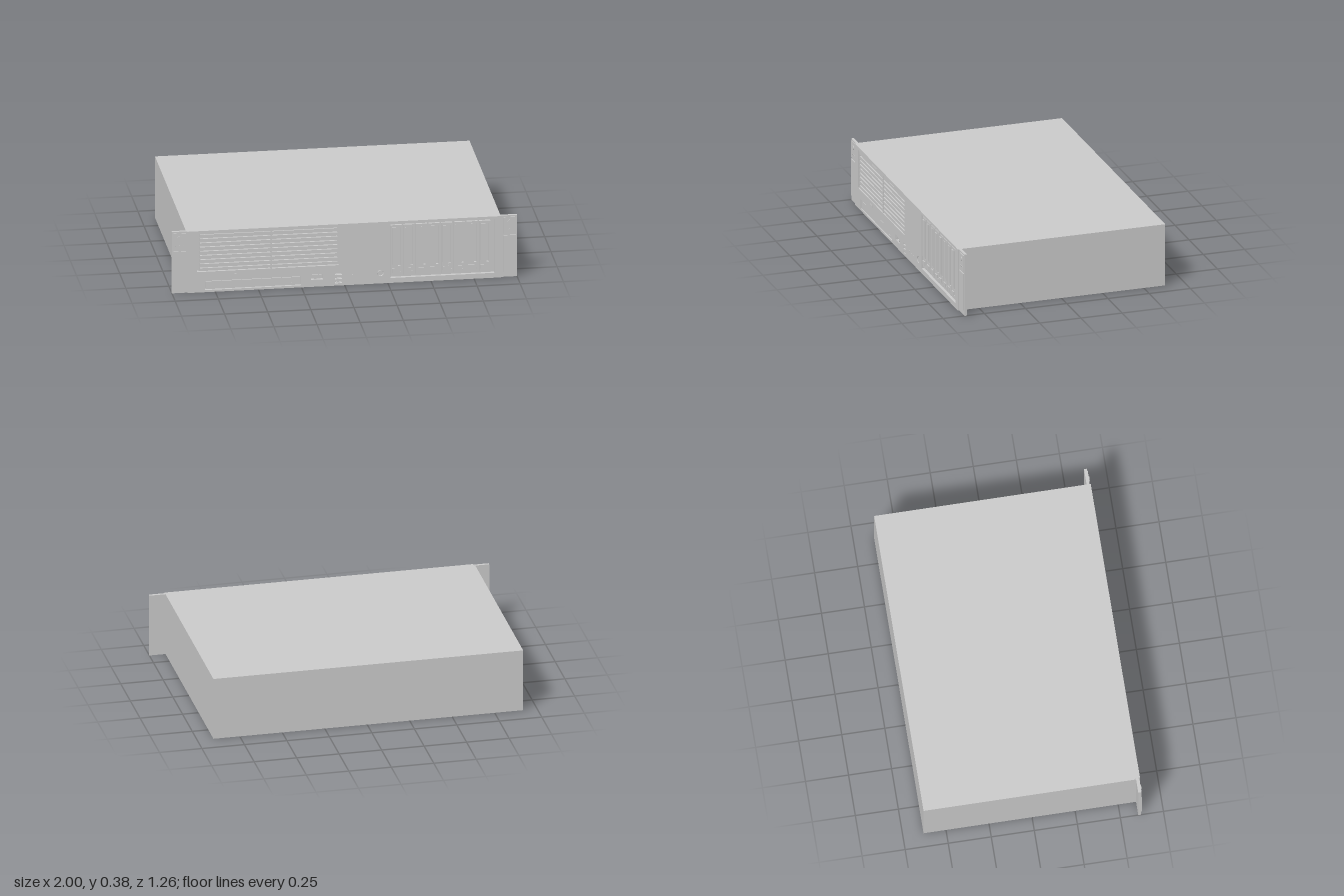
import * as THREE from 'three';

const mat = new THREE.MeshStandardMaterial({ color: 0xcccccc, flatShading: true });
const FRONT = 0.628, H = 0.375;

function rectPath(x0, y0, x1, y1, Type = THREE.Path) {
  const p = new Type();
  p.moveTo(x0, y0).lineTo(x1, y0).lineTo(x1, y1).lineTo(x0, y1).closePath();
  return p;
}

function circlePath(x, y, r) {
  const p = new THREE.Path();
  p.absarc(x, y, r, 0, Math.PI * 2, true);
  return p;
}

export function createModel() {
  const model = new THREE.Group();
  model.name = 'rackServer';

  const add = (name, geo, parent = model) => {
    const m = new THREE.Mesh(geo, mat);
    m.name = name;
    parent.add(m);
    return m;
  };
  // Box given by its limits
  const box = (name, x0, x1, y0, y1, z0, z1, parent) => {
    const g = new THREE.BoxGeometry(x1 - x0, y1 - y0, z1 - z0);
    g.translate((x0 + x1) / 2, (y0 + y1) / 2, (z0 + z1) / 2);
    return add(name, g, parent);
  };
  // Plate with holes, spanning z0 to z1
  const plate = (name, x0, x1, y0, y1, z0, z1, holes, parent) => {
    const s = rectPath(x0, y0, x1, y1, THREE.Shape);
    s.holes.push(...holes);
    const g = new THREE.ExtrudeGeometry(s, { depth: z1 - z0, bevelEnabled: false, curveSegments: 8 });
    g.translate(0, 0, z0);
    return add(name, g, parent);
  };

  // Chassis and front panel
  box('chassis', -0.918, 0.905, 0, H, -0.63, 0.603);
  plate('frontPanel', -0.91, 0.905, 0, H, 0.603, FRONT, [
    rectPath(-0.855, 0.125, -0.035, 0.355),
    rectPath(0.265, 0.03, 0.868, 0.36),
    rectPath(-0.81, 0.013, -0.255, 0.068),
    rectPath(-0.195, 0.043, -0.125, 0.075),
    ...[0.02, 0.045, 0.07].map((y) => rectPath(-0.055, y - 0.006, -0.015, y + 0.006)),
    circlePath(0.207, 0.063, 0.019),
  ]);

  // Ventilation grille: two slatted panels with a central post
  const grille = new THREE.Group();
  grille.name = 'ventGrille';
  model.add(grille);
  box('grilleBack', -0.845, -0.035, 0.125, 0.355, 0.603, 0.613, grille);
  box('grillePost', -0.43, -0.42, 0.125, 0.355, 0.613, 0.626, grille);
  const rows = 9, pitch = 0.23 / rows;
  for (let i = 0; i < rows; i++) {
    const y = 0.125 + (i + 0.5) * pitch;
    for (const [x0, x1] of [[-0.838, -0.43], [-0.42, -0.042]]) {
      box('grilleSlat', x0, x1, y - 0.0085, y + 0.0085, 0.612, 0.625, grille);
    }
  }

  // Drive bay with eight carriers
  const bay = new THREE.Group();
  bay.name = 'driveBay';
  model.add(bay);
  box('bayBack', 0.265, 0.868, 0.03, 0.36, 0.603, 0.608, bay);
  for (let i = 0; i < 8; i++) {
    const x = 0.268 + i * 0.0733;
    const c = new THREE.Group();
    c.name = 'driveCarrier';
    bay.add(c);
    plate('carrierFace', x, x + 0.064, 0.042, 0.35, 0.606, 0.622,
      [rectPath(x + 0.042, 0.1, x + 0.056, 0.335)], c);
    box('carrierLever', x + 0.008, x + 0.034, 0.11, 0.335, 0.622, 0.626, c);
    box('carrierLatch', x + 0.008, x + 0.045, 0.06, 0.085, 0.622, 0.627, c);
    for (const dx of [0.05, 0.058]) {
      box('carrierLight', x + dx - 0.0025, x + dx + 0.0025, 0.06, 0.066, 0.622, 0.624, c);
    }
  }

  // Optical drive tray with eject button
  box('opticalTray', -0.806, -0.259, 0.017, 0.064, 0.603, 0.625);
  box('ejectButton', -0.31, -0.285, 0.024, 0.034, 0.625, 0.627);
  box('releaseTab', -0.645, -0.605, 0.09, 0.104, FRONT - 0.002, FRONT + 0.002);

  // Video port: tapered shell with a socket
  const d = new THREE.Shape();
  d.moveTo(-0.187, 0.071).lineTo(-0.133, 0.071).lineTo(-0.14, 0.047).lineTo(-0.18, 0.047).closePath();
  const hole = new THREE.Path();
  hole.moveTo(-0.181, 0.067).lineTo(-0.139, 0.067).lineTo(-0.144, 0.051).lineTo(-0.176, 0.051).closePath();
  d.holes.push(hole);
  const port = new THREE.ExtrudeGeometry(d, { depth: 0.022, bevelEnabled: false });
  port.translate(0, 0, 0.603);
  add('videoPort', port);

  // USB tongues, status lights and power button
  for (const y of [0.02, 0.045, 0.07]) {
    box('usbTongue', -0.05, -0.02, y - 0.002, y + 0.002, 0.603, 0.624);
  }
  const disc = (name, x, y, r, z0, z1) => {
    const g = new THREE.CylinderGeometry(r, r, z1 - z0, 16);
    g.rotateX(Math.PI / 2);
    g.translate(x, y, (z0 + z1) / 2);
    return add(name, g);
  };
  for (const [x, y] of [[0.03, 0.06], [0.045, 0.06], [0.09, 0.055], [0.125, 0.055]]) {
    disc('statusLight', x, y, 0.005, 0.62, FRONT + 0.001);
  }
  disc('powerButton', 0.207, 0.063, 0.015, 0.603, 0.626);

  // Rack ears: flange, upper pad with screw, lower cover
  for (const side of [-1, 1]) {
    const ear = new THREE.Group();
    ear.name = side < 0 ? 'rightEar' : 'leftEar';
    model.add(ear);
    const b = (name, a, c, y0, y1, z0, z1) =>
      box(name, Math.min(side * a, side * c), Math.max(side * a, side * c), y0, y1, z0, z1, ear);
    b('flange', 0.905, 1, 0, H, 0.604, 0.62);
    b('lowerCover', 0.92, 0.992, 0.03, 0.255, 0.62, 0.626);
    b('upperPad', 0.92, 0.992, 0.265, 0.365, 0.62, 0.624);
    disc('earScrew', side * 0.955, 0.335, 0.014, 0.62, 0.628);
    for (const dx of [-0.02, 0, 0.02]) {
      disc('earLight', side * (0.955 + dx), 0.29, 0.004, 0.62, 0.626);
    }
  }
  return model;
}
